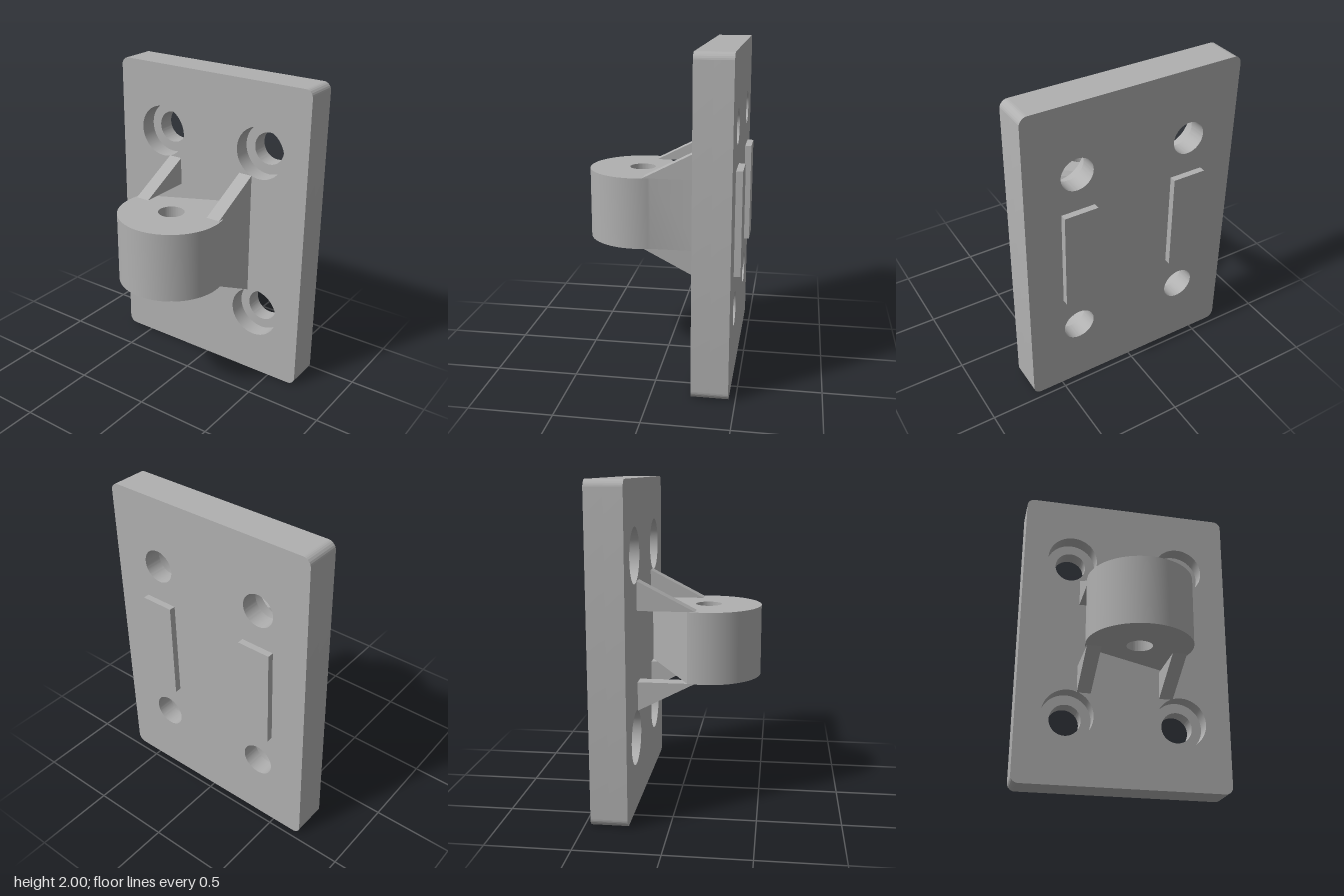
import * as THREE from 'three';
import { toCreasedNormals } from 'three/addons/utils/BufferGeometryUtils.js';

const metal = new THREE.MeshStandardMaterial({ color: 0xb0b0b0 });
metal.name = 'grey metal';

function extrude(shape, depth) {
  const geo = new THREE.ExtrudeGeometry(shape, { depth, bevelEnabled: false, curveSegments: 40 });
  return toCreasedNormals(geo, 0.6);
}

function addMesh(group, name, geometry) {
  const mesh = new THREE.Mesh(geometry, metal);
  mesh.name = name;
  group.add(mesh);
  return mesh;
}

function circleHole(x, y, r) {
  return new THREE.Path().absarc(x, y, r, 0, Math.PI * 2, true);
}

// Rounded plate outline pierced by four holes of the given radius
function plateShape(holeRadius) {
  const w = 0.7, h = 2, r = 0.05, s = new THREE.Shape();
  s.absarc(w - r, r, r, -Math.PI / 2, 0, false);
  s.absarc(w - r, h - r, r, 0, Math.PI / 2, false);
  s.absarc(-w + r, h - r, r, Math.PI / 2, Math.PI, false);
  s.absarc(-w + r, r, r, Math.PI, Math.PI * 1.5, false);
  s.closePath();
  for (const x of [-0.37, 0.37]) {
    for (const y of [0.447, 1.557]) s.holes.push(circleHole(x, y, holeRadius));
  }
  return s;
}

export function createModel() {
  const model = new THREE.Group();
  model.name = 'mountingBracket';
  const plateBack = -0.46, plateFront = -0.24, boreFloor = -0.35;

  // Plate: narrow bolt holes behind, wide counterbores in front
  addMesh(model, 'plateBack', extrude(plateShape(0.103), boreFloor - plateBack)).position.z = plateBack;
  addMesh(model, 'plateFront', extrude(plateShape(0.167), plateFront - boreFloor)).position.z = boreFloor;

  // Boss: round nose on a straight neck, with a vertical pin hole
  const noseZ = 0.165, noseR = 0.331, neck = 0.315;
  const a = Math.acos(neck / noseR);
  const outline = new THREE.Shape();
  outline.moveTo(-neck, -plateFront);
  outline.absarc(0, -noseZ, noseR, Math.PI - a, Math.PI * 2 + a, false);
  outline.lineTo(neck, -plateFront);
  outline.closePath();
  outline.holes.push(circleHole(0, -noseZ, 0.081));
  const bossGeo = extrude(outline, 0.44);
  bossGeo.rotateX(-Math.PI / 2);
  addMesh(model, 'boss', bossGeo).position.y = 0.78;

  // Triangular ribs above and below the boss, on both sides
  const ribWidth = 0.09, ribEnd = 0.11;
  for (const [name, near, far] of [['upperRib', 1.22, 1.4], ['lowerRib', 0.78, 0.6]]) {
    const tri = new THREE.Shape([
      new THREE.Vector2(plateFront, near),
      new THREE.Vector2(ribEnd, near),
      new THREE.Vector2(plateFront, far),
    ]);
    const geo = extrude(tri, ribWidth);
    geo.rotateY(-Math.PI / 2);
    addMesh(model, name + 'Left', geo).position.x = neck;
    addMesh(model, name + 'Right', geo).position.x = -neck + ribWidth;
  }

  // Raised locating pads on the back
  for (const side of [-1, 1]) {
    const pad = addMesh(model, side > 0 ? 'padLeft' : 'padRight', new THREE.BoxGeometry(0.215, 0.63, 0.04));
    pad.position.set(side * 0.3675, 1.005, -0.48);
  }
  return model;
}
